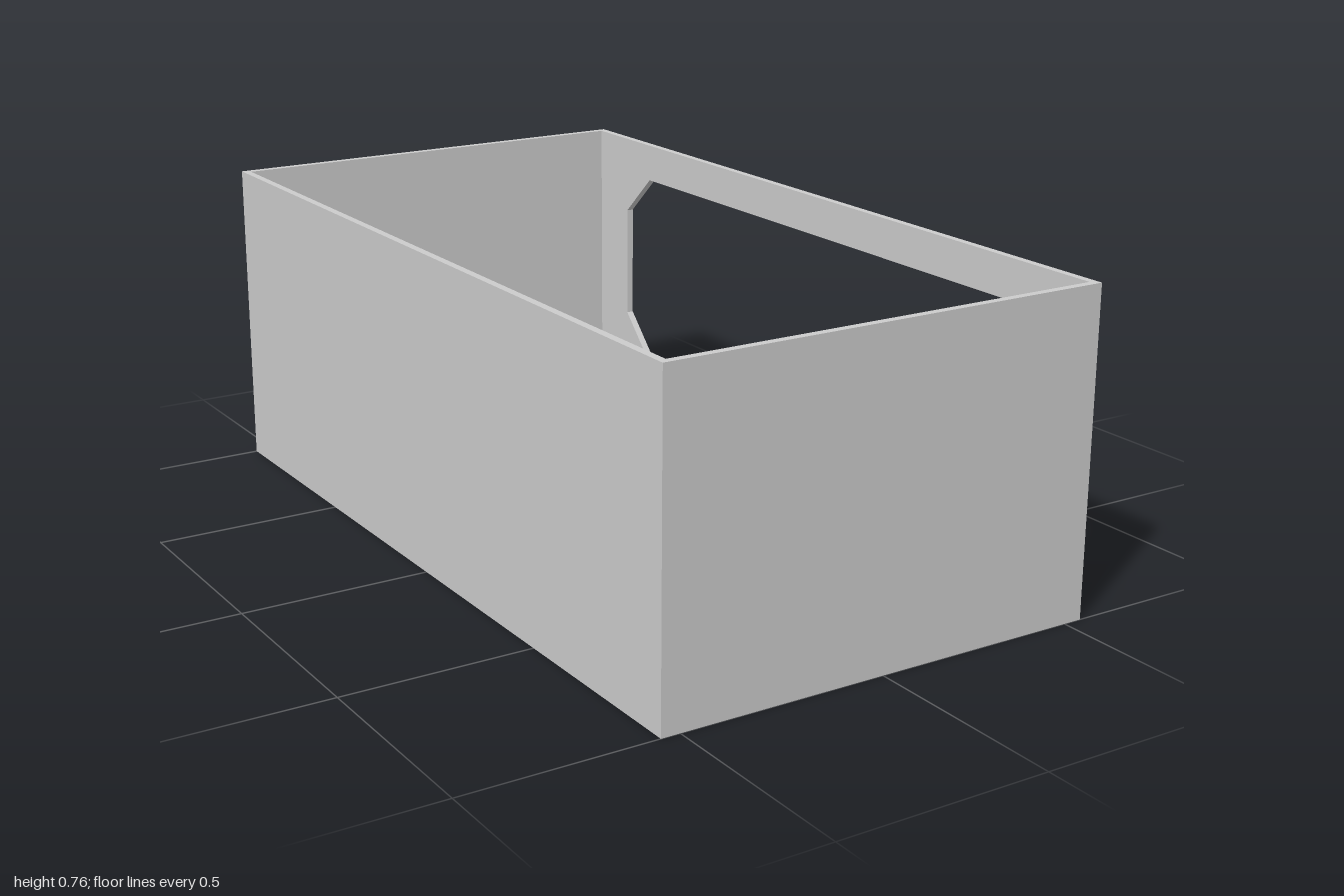
import * as THREE from 'three';
import { toCreasedNormals } from 'three/addons/utils/BufferGeometryUtils.js';

const W = 0.545, L = 1, H = 0.762, T = 0.018, FLOOR = 0.147;
const material = new THREE.MeshStandardMaterial({ color: 0xcccccc });

function addMesh(group, name, geometry, x = 0, y = 0, z = 0) {
  const mesh = new THREE.Mesh(geometry, material);
  mesh.name = name;
  mesh.position.set(x, y, z);
  group.add(mesh);
  return mesh;
}

// Rectangular pad from stacked rings; each ring is [inset, y]
function padGeometry(halfX, halfZ, rings) {
  const points = [], index = [];
  for (const [inset, y] of rings) {
    const x = halfX - inset, z = halfZ - inset;
    points.push(-x, y, z, x, y, z, x, y, -z, -x, y, -z);
  }
  for (let r = 0; r < rings.length - 1; r++) {
    for (let i = 0; i < 4; i++) {
      const a = r * 4 + i, b = r * 4 + (i + 1) % 4;
      index.push(a, b, b + 4, a, b + 4, a + 4);
    }
  }
  const t = (rings.length - 1) * 4;
  index.push(t, t + 1, t + 2, t, t + 2, t + 3, 0, 2, 1, 0, 3, 2);
  const geometry = new THREE.BufferGeometry();
  geometry.setAttribute('position', new THREE.Float32BufferAttribute(points, 3));
  geometry.setIndex(index);
  return toCreasedNormals(geometry, 0.6);
}

// Side wall with an eight-sided window; shape x runs along z
function windowWallGeometry() {
  const half = L - T;
  const shape = new THREE.Shape([[-half, 0], [half, 0], [half, H], [-half, H]]
    .map(([z, y]) => new THREE.Vector2(z, y)));
  shape.holes.push(new THREE.Path([
    [0.727, 0.666], [0.838, 0.546], [0.838, 0.256], [0.727, FLOOR],
    [-0.73, FLOOR], [-0.845, 0.265], [-0.845, 0.56], [-0.73, 0.666],
  ].map(([z, y]) => new THREE.Vector2(z, y))));
  const geometry = new THREE.ExtrudeGeometry(shape, { depth: T, bevelEnabled: false });
  return geometry.rotateY(-Math.PI / 2);
}

export function createModel() {
  const model = new THREE.Group();
  model.name = 'openBox';

  // Shell: thick floor, end walls, plain left-hand wall and window wall
  addMesh(model, 'floor', new THREE.BoxGeometry(2 * (W - T), FLOOR, 2 * (L - T)), 0, FLOOR / 2, 0);
  for (const [name, s] of [['frontWall', 1], ['backWall', -1]]) {
    addMesh(model, name, new THREE.BoxGeometry(2 * W, H, T), 0, H / 2, s * (L - T / 2));
  }
  addMesh(model, 'plainWall', new THREE.BoxGeometry(T, H, 2 * (L - T)), -W + T / 2, H / 2, 0);
  addMesh(model, 'windowWall', windowWallGeometry(), W, 0, 0);

  // Mattress and pillow
  addMesh(model, 'mattress', padGeometry(0.453, 0.902,
    [[0, 0], [0, 0.019], [0.009, 0.03], [0.067, 0.036]]), -0.003, FLOOR, -0.003);
  addMesh(model, 'pillow', padGeometry(0.272, 0.123,
    [[0, 0], [0, 0.026], [0.01, 0.041], [0.042, 0.047]]), -0.003, FLOOR + 0.036, 0.658);

  return model;
}
